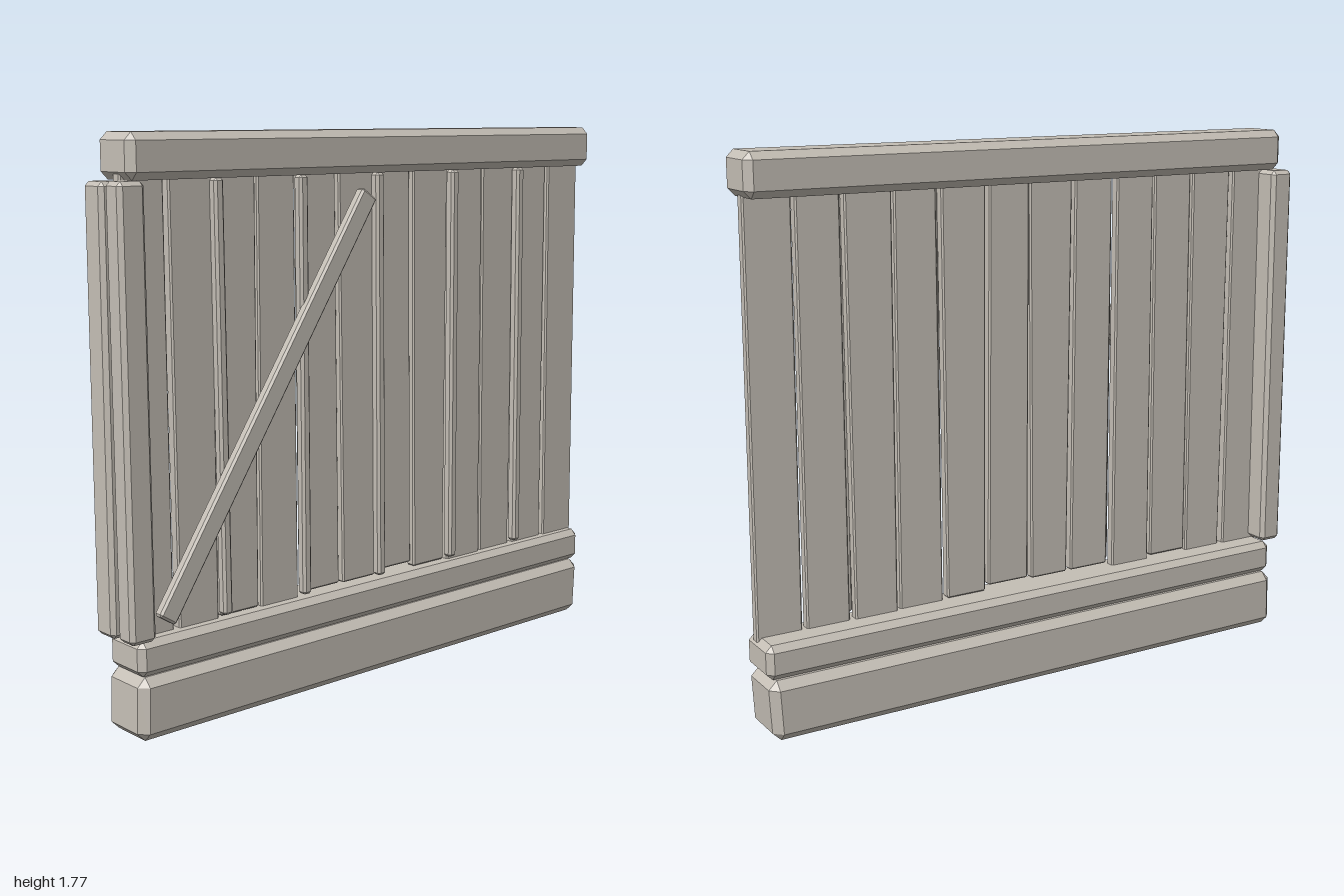
import * as THREE from 'three';
import { ConvexGeometry } from 'three/addons/geometries/ConvexGeometry.js';

// Box between two corners with every edge chamfered; topShift leans the upper end in x
function chamferBox([x0, x1], [y0, y1], [z0, z1], c, topShift = [0, 0]) {
  const pts = [];
  const half = [(x1 - x0) / 2, (y1 - y0) / 2, (z1 - z0) / 2];
  const mid = [(x0 + x1) / 2, (y0 + y1) / 2, (z0 + z1) / 2];
  for (const sx of [-1, 1]) for (const sy of [-1, 1]) for (const sz of [-1, 1]) {
    for (let face = 0; face < 3; face++) {
      const p = [sx, sy, sz].map((s, a) => mid[a] + s * (half[a] - (a === face ? 0 : c)));
      if (sy > 0) p[0] += topShift[sx < 0 ? 0 : 1];
      pts.push(new THREE.Vector3(...p));
    }
  }
  return new ConvexGeometry(pts);
}

export function createModel() {
  const group = new THREE.Group();
  const wood = new THREE.MeshStandardMaterial({ color: 0xc4beb5 });
  wood.name = 'weathered wood';

  const add = (name, geometry) => {
    const mesh = new THREE.Mesh(geometry, wood);
    mesh.name = name;
    group.add(mesh);
    return mesh;
  };

  // Horizontal beams
  add('baseBeam', chamferBox([-0.955, 0.985], [0, 0.195], [-0.103, 0.088], 0.027, [0.005, 0.007]));
  add('lowerRail', chamferBox([-0.948, 0.995], [0.197, 0.307], [-0.09, 0.08], 0.02));
  add('topBeam', chamferBox([-0.95, 0.997], [1.638, 1.772], [-0.077, 0.09], 0.023));

  // Pair of end posts, one on each side of the planks
  add('backPost', chamferBox([-0.995, -0.912], [0.31, 1.635], [-0.083, 0.008], 0.013, [0.002, 0.004]));
  add('frontPost', chamferBox([-0.99, -0.9], [0.31, 1.638], [0.024, 0.1], 0.013, [-0.003, -0.003]));

  // Vertical planks: left, right, bottom, top shift of each side
  const planks = [
    [-0.945, -0.793, 0.29, 0, -0.004],
    [-0.776, -0.63, 0.29, -0.008, 0.002],
    [-0.625, -0.478, 0.312, 0.004, 0.005],
    [-0.462, -0.312, 0.29, 0.002, -0.004],
    [-0.29, -0.143, 0.32, -0.008, -0.012],
    [-0.13, 0.01, 0.318, -0.015, 0.006],
    [0.03, 0.181, 0.328, -0.008, -0.014],
    [0.191, 0.332, 0.31, -0.012, 0.004],
    [0.347, 0.502, 0.29, 0.005, -0.006],
    [0.515, 0.662, 0.29, -0.008, 0.002],
    [0.68, 0.826, 0.29, -0.004, -0.007],
    [0.84, 0.99, 0.29, -0.012, -0.01],
  ];
  planks.forEach(([l, r, bottom, dl, dr], i) => {
    const z = 0.004 * (i % 3 - 1);
    add('plank', chamferBox([l, r], [bottom, 1.66], [z, z + 0.035], 0.005, [dl, dr]));
  });

  // Narrow battens covering every second joint
  [-0.614, -0.3, 0.02, 0.35, 0.672].forEach((x, i) => {
    const lean = i % 2 ? -0.004 : -0.01;
    add('batten', chamferBox([x - 0.017, x + 0.017], [0.32, 1.638], [0.03, 0.066], 0.008, [lean, lean]));
  });

  // Diagonal brace, tipped slightly in towards its upper end
  const from = new THREE.Vector3(-0.862, 0.362, 0.082);
  const to = new THREE.Vector3(-0.052, 1.575, 0.068);
  const length = from.distanceTo(to);
  const brace = add('diagonalBrace', chamferBox([-0.034, 0.034], [-length / 2, length / 2], [-0.018, 0.018], 0.007));
  brace.position.copy(from).lerp(to, 0.5);
  brace.quaternion.setFromUnitVectors(new THREE.Vector3(0, 1, 0), to.clone().sub(from).normalize());

  return group;
}
